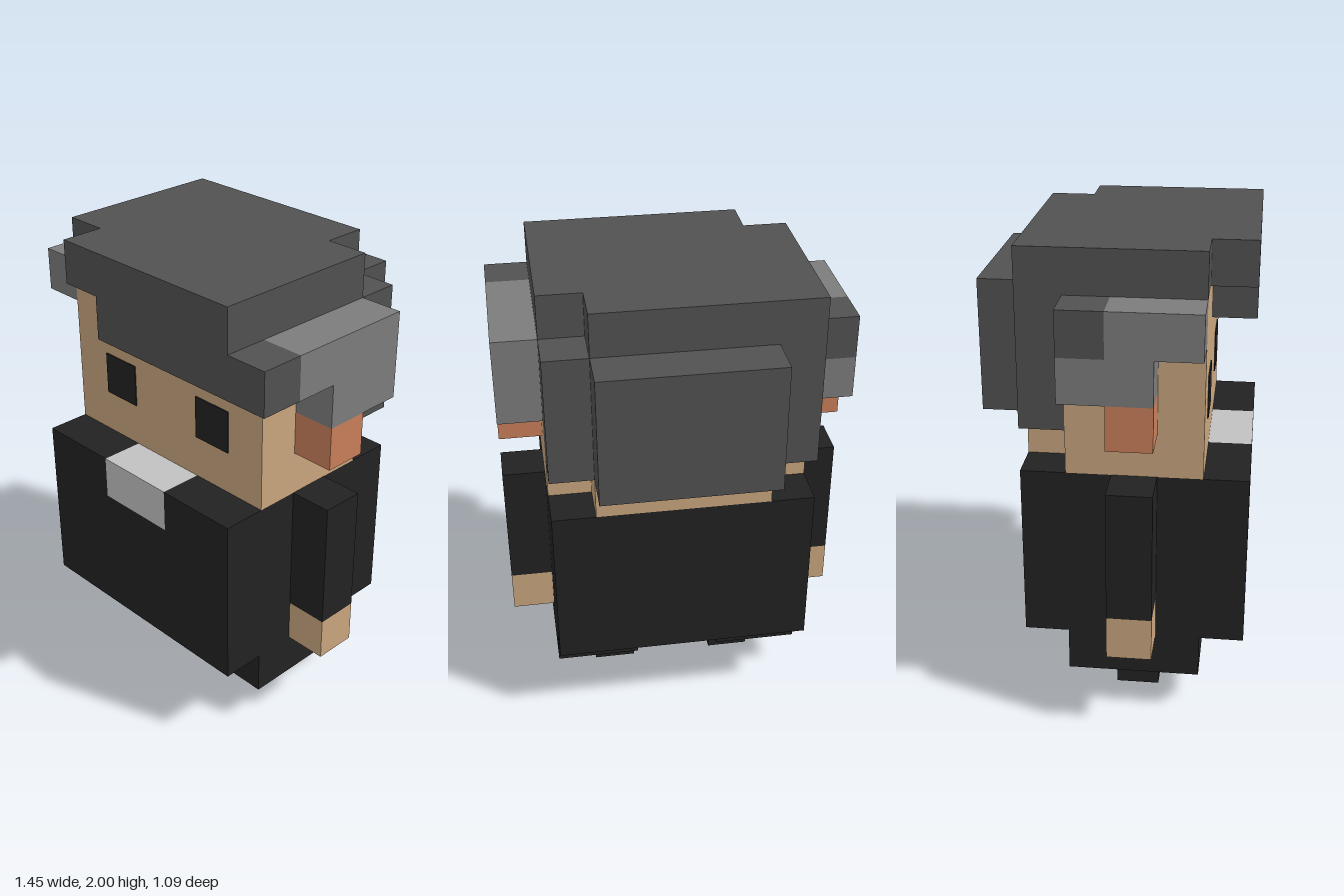
import * as THREE from 'three';

// One block of the figure; the model is 11 blocks tall.
const U = 2 / 11;

function material(name, color) {
  const m = new THREE.MeshStandardMaterial({ color });
  m.name = name;
  return m;
}

export function createModel() {
  const suit = material('black suit', 0x222222);
  const collarGrey = material('pale collar', 0xc1c1c1);
  const skin = material('skin', 0xc9a57e);
  const ear = material('ear', 0xc97f5a);
  const hair = material('dark hair', 0x515151);
  const greyHair = material('grey hair', 0x7c7c7c);

  const model = new THREE.Group();
  model.name = 'blockFigure';

  // Box between two corners, measured in blocks.
  function block(name, mat, x0, x1, y0, y1, z0, z1) {
    const geo = new THREE.BoxGeometry((x1 - x0) * U, (y1 - y0) * U, (z1 - z0) * U);
    const mesh = new THREE.Mesh(geo, mat);
    mesh.name = name;
    mesh.position.set((x0 + x1) / 2 * U, (y0 + y1) / 2 * U, (z0 + z1) / 2 * U);
    model.add(mesh);
  }

  // The same box on the left (+x) and right (-x).
  function pair(name, mat, x0, x1, ...yz) {
    block('left' + name, mat, x0, x1, ...yz);
    block('right' + name, mat, -x1, -x0, ...yz);
  }

  // Legs
  pair('Foot', suit, 1, 2, 0, 1, 0, 1);
  pair('Leg', suit, 1, 3, 1, 2, -1, 2);

  // Torso, with a gap at the upper front for the collar
  block('torso', suit, -3, 3, 2, 5, -2, 3);
  block('shoulders', suit, -3, 3, 5, 6, -2, 2);
  pair('Chest', suit, 1, 3, 5, 6, 2, 3);
  block('collar', collarGrey, -1, 1, 5, 6, 2, 3);

  // Arms
  pair('Sleeve', suit, 3, 4, 3, 6, 0, 1);
  pair('Hand', skin, 3, 4, 2, 3, 0, 1);

  // Head
  block('head', skin, -3, 3, 6, 10, -1, 2);
  block('nape', skin, -2, 2, 6, 7, -2, -1);
  pair('Ear', ear, 3, 4, 7, 8, 0, 1);
  pair('Eye', suit, 1, 2, 7, 8, 2, 2.03);

  // Back hair
  block('backHair', hair, -3, 3, 7, 10, -2, -1);
  block('backHairPanel', hair, -2, 2, 7, 10, -3, -2);

  // Hair on top, with a notch at the front right and at the back left
  block('topHair', hair, -3, 3, 10, 11, -1, 2);
  block('topHairBack', hair, -3, 2, 10, 11, -2, -1);
  block('topHairFront', hair, -2, 3, 10, 11, 2, 3);

  // Fringe swept to the left
  block('fringe', hair, -1, 4, 9, 10, 2, 3);

  // Grey hair at the sides
  pair('Sideburn', greyHair, 3, 4, 8, 9, -1, 1);
  block('leftSideHair', greyHair, 3, 4, 9, 10, -1, 2);
  block('rightSideHair', greyHair, -4, -3, 9, 10, 0, 2);
  block('rightDarkTuft', hair, -4, -3, 9, 10, -1, 0);

  return model;
}
